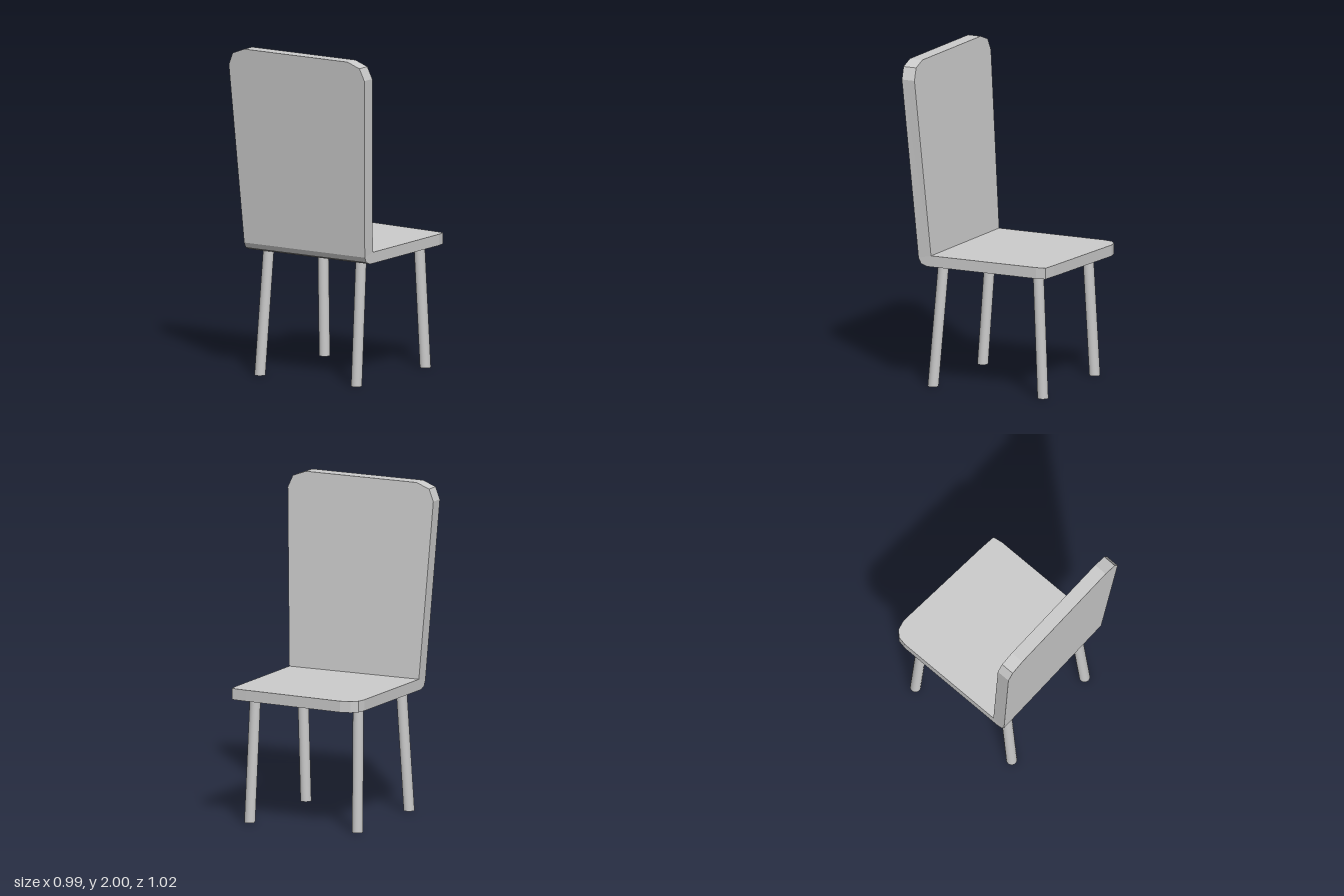
import * as THREE from 'three';

const grey = new THREE.MeshStandardMaterial({ color: 0xcccccc, flatShading: true });
const tubeGrey = new THREE.MeshStandardMaterial({ color: 0xcccccc, side: THREE.DoubleSide });

const SEAT_TOP = 0.82, SEAT_BOTTOM = 0.752;

// Skins four-cornered cross-sections; each is [left x, right x, inner z, inner y, outer z, outer y]
function loftPanel(sections) {
  const rings = sections.map(([l, r, iz, iy, oz, oy]) => [
    [l, iy, iz], [r, iy, iz], [r, oy, oz], [l, oy, oz],
  ]);
  const pos = [];
  const quad = (a, b, c, d) => pos.push(...a, ...b, ...c, ...a, ...c, ...d);
  for (let i = 0; i < rings.length - 1; i++) {
    const p = rings[i], q = rings[i + 1];
    for (let k = 0; k < 4; k++) {
      const n = (k + 1) % 4;
      quad(p[k], q[k], q[n], p[n]);
    }
  }
  quad(...rings[0]);
  quad(...[...rings[rings.length - 1]].reverse());
  const geo = new THREE.BufferGeometry();
  geo.setAttribute('position', new THREE.Float32BufferAttribute(pos, 3));
  geo.computeVertexNormals();
  return geo;
}

// Open tube sheared between two points so that both ends stay level
function makeLeg(name, [tx, tz], [bx, bz]) {
  const geo = new THREE.CylinderGeometry(0.033, 0.033, SEAT_BOTTOM, 20, 1, true);
  geo.translate(0, SEAT_BOTTOM / 2, 0);
  const p = geo.attributes.position;
  for (let i = 0; i < p.count; i++) {
    const t = p.getY(i) / SEAT_BOTTOM;
    p.setX(i, p.getX(i) + THREE.MathUtils.lerp(bx, tx, t));
    p.setZ(i, p.getZ(i) + THREE.MathUtils.lerp(bz, tz, t));
  }
  const leg = new THREE.Mesh(geo, tubeGrey);
  leg.name = name;
  return leg;
}

export function createModel() {
  const chair = new THREE.Group();
  chair.name = 'chair';

  // Seat: slanted front edge with one strongly rounded corner
  const seatSections = [
    [-0.318, -0.316, -0.499],
    [-0.381, -0.07, -0.484],
    [-0.404, 0.344, -0.459],
    [-0.415, 0.438, -0.45],
    [-0.426, 0.448, -0.392],
  ].map(([l, r, z]) => [l, r, z, SEAT_TOP, z, SEAT_BOTTOM]);

  // Bend: the outside rolls around the inner crease
  const bendSections = [[0.345, 0.752], [0.385, 0.767], [0.402, 0.8]]
    .map(([z, y]) => [-0.424, 0.452, 0.317, SEAT_TOP, z, y]);

  // Backrest: leans back, widens upward, clipped top corners
  const backSections = [[0.492, 1.895], [0.46, 1.968], [0.375, 2]].map(([half, y]) => {
    const lean = 0.077 * (y - SEAT_TOP);
    return [0.014 - half, 0.014 + half, 0.318 + lean, y, 0.403 + lean, y];
  });

  const shell = new THREE.Mesh(loftPanel([...seatSections, ...bendSections, ...backSections]), grey);
  shell.name = 'seatAndBackrest';
  shell.rotation.y = -0.036;
  chair.add(shell);

  // Legs: splayed outward, given as top and bottom [x, z]
  chair.add(
    makeLeg('backrestLegRight', [-0.32, 0.3], [-0.34, 0.365]),
    makeLeg('backrestLegLeft', [0.336, 0.3], [0.345, 0.365]),
    makeLeg('seatEdgeLegRight', [-0.337, -0.336], [-0.35, -0.375]),
    makeLeg('seatEdgeLegLeft', [0.347, -0.336], [0.365, -0.375]),
  );
  return chair;
}
